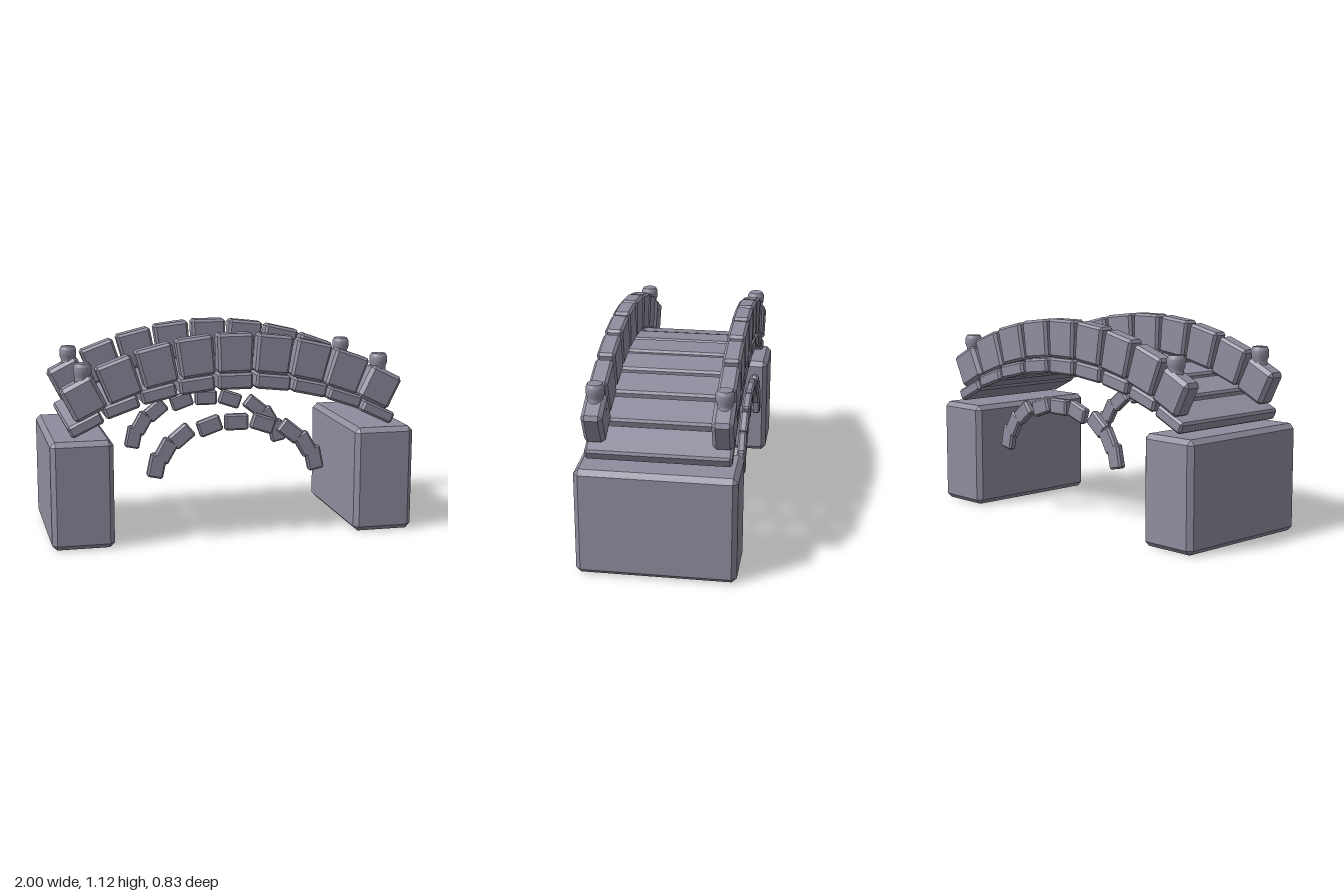
import * as THREE from 'three';
import { toCreasedNormals } from 'three/addons/utils/BufferGeometryUtils.js';
import { ConvexGeometry } from 'three/addons/geometries/ConvexGeometry.js';

const stone = new THREE.MeshStandardMaterial({ color: 0x8e8d9e });
stone.name = 'greyStone';

// Box with flat chamfers; taper narrows its bottom along x
function chamferBox(w, h, d, b, taper = 1) {
  const points = [];
  for (const sx of [-1, 1]) for (const sy of [-1, 1]) for (const sz of [-1, 1]) {
    for (let axis = 0; axis < 3; axis++) {
      const p = [w / 2 - b, h / 2 - b, d / 2 - b];
      p[axis] += b;
      const k = sy < 0 ? taper : 1;
      points.push(new THREE.Vector3(sx * p[0] * k, sy * p[1], sz * p[2]));
    }
  }
  return new ConvexGeometry(points);
}

function add(group, name, geometry, x, y, z, tilt = 0) {
  const mesh = new THREE.Mesh(geometry, stone);
  mesh.name = name;
  mesh.position.set(x, y, z);
  mesh.rotation.z = tilt;
  group.add(mesh);
}

export function createModel() {
  const bridge = new THREE.Group();
  bridge.name = 'stoneBridge';

  // Piers at both ends
  const pier = chamferBox(0.333, 0.583, 0.832, 0.026);
  for (const s of [-1, 1]) add(bridge, s > 0 ? 'leftPier' : 'rightPier', pier, s * 0.8335, 0.2915, 0);

  // Deck slabs, thinner toward the ends
  const deck = new THREE.Group();
  deck.name = 'deck';
  const slabThickness = [0.088, 0.083, 0.077, 0.071, 0.066];
  for (let i = -4; i <= 4; i++) {
    const a = i * 0.123, R = 1.705;
    const slab = chamferBox(0.192, slabThickness[Math.abs(i)], 0.75, 0.012);
    add(deck, 'deckSlab', slab, R * Math.sin(a), 0.864 - R * (1 - Math.cos(a)), 0, -a * 0.9);
  }
  bridge.add(deck);

  // Post with a swollen foot inside the end block and a flared cap
  const post = toCreasedNormals(new THREE.LatheGeometry([
    [0, -0.07], [0.035, -0.045], [0.052, -0.022], [0.0575, 0], [0.052, 0.024],
    [0.041, 0.05], [0.04, 0.066], [0.047, 0.085], [0.048, 0.122], [0.038, 0.14], [0, 0.142],
  ].map(([r, y]) => new THREE.Vector2(r, y)), 20), 0.6);

  // Parapets and the two decorative arches, one on each side
  const block = chamferBox(0.2, 0.21, 0.096, 0.014, 0.93);
  const endBlock = chamferBox(0.192, 0.197, 0.11, 0.02);
  const archStone = chamferBox(0.13, 0.088, 0.045, 0.01);
  const archPath = [ // x, y, tilt in degrees
    [0, 0.647, 0], [0.147, 0.632, 19], [0.3, 0.583, 39], [0.385, 0.508, 60], [0.435, 0.428, 78],
  ];
  for (const side of [-1, 1]) {
    const parapet = new THREE.Group();
    parapet.name = side > 0 ? 'frontParapet' : 'backParapet';
    const z = side * 0.327;
    for (let i = -4; i <= 4; i++) {
      const a = i * 0.129, R = 1.65, end = Math.abs(i) === 4;
      const x = R * Math.sin(a), y = 1.015 - R * (1 - Math.cos(a));
      add(parapet, end ? 'endBlock' : 'parapetBlock', end ? endBlock : block, x, y, z, -a * 0.9);
      if (end) add(parapet, 'post', post, x, 0.845, z);
    }
    bridge.add(parapet);

    const arch = new THREE.Group();
    arch.name = side > 0 ? 'frontArch' : 'backArch';
    archPath.forEach(([x, y, deg], i) => {
      for (const s of i ? [-1, 1] : [1]) {
        add(arch, 'archStone', archStone, s * x, y, side * 0.376, -s * THREE.MathUtils.degToRad(deg));
      }
    });
    bridge.add(arch);
  }
  return bridge;
}
